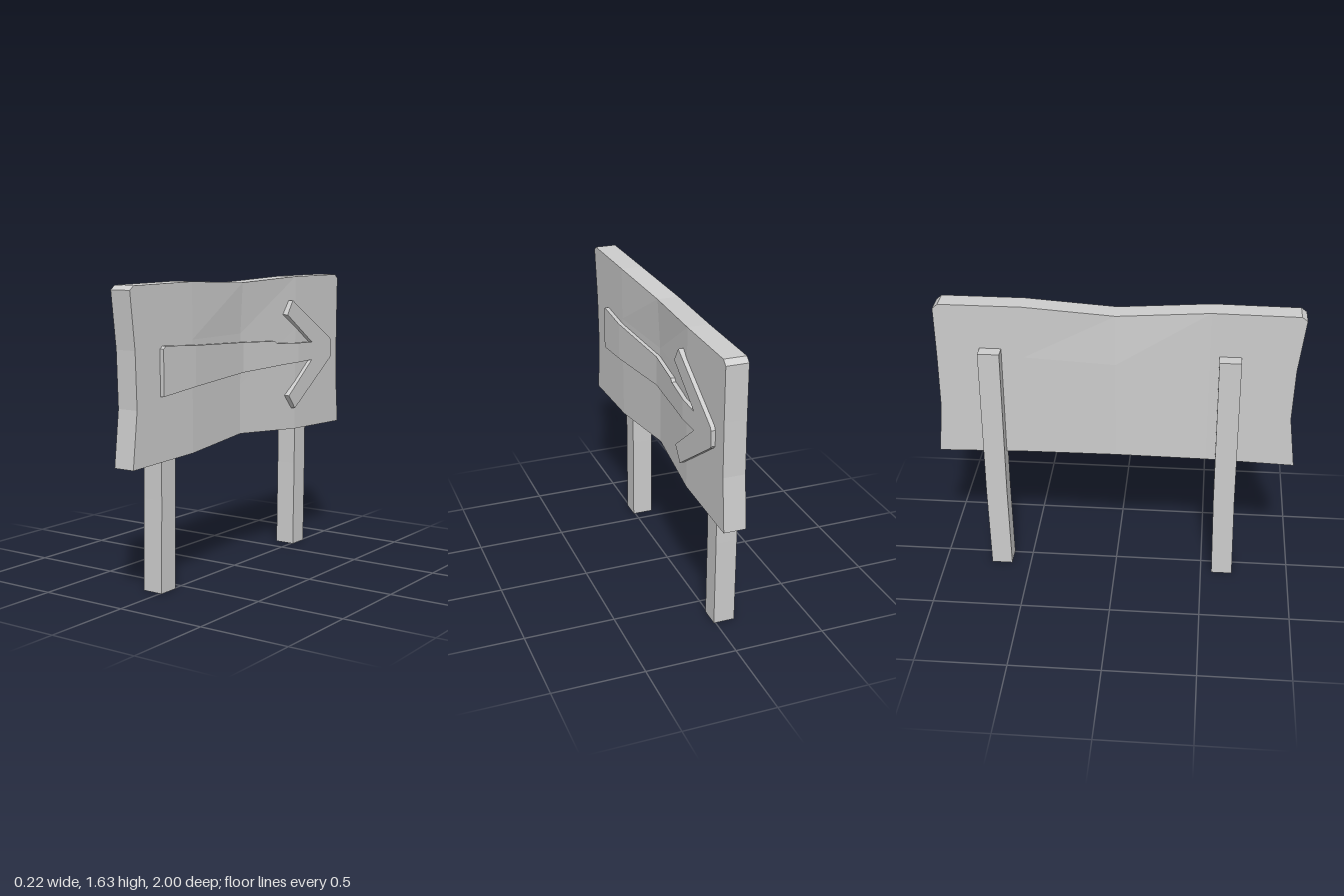
import * as THREE from 'three';

// The planks sag backwards around the middle (z = 0), a little less at the top edge
function sag(z, y) {
  const amount = 0.045 - 0.016 * THREE.MathUtils.clamp((y - 1.3) / 0.3, 0, 1);
  return -amount * Math.max(0, 1 - Math.abs(z) / 0.5);
}

// A slab between x0 and x1 whose grid of columns and rows is placed by a rule
function slab(name, material, x0, x1, rows, cols, place) {
  const geometry = new THREE.BoxGeometry(1, 1, 1, 1, rows, cols);
  const p = geometry.attributes.position;
  for (let k = 0; k < p.count; k++) {
    const col = Math.round((p.getZ(k) + 0.5) * cols);
    const row = Math.round((p.getY(k) + 0.5) * rows);
    const [z, y] = place(col, row);
    p.setXYZ(k, (p.getX(k) > 0 ? x1 : x0) + sag(z, y), y, z);
  }
  geometry.computeVertexNormals();
  const mesh = new THREE.Mesh(geometry, material);
  mesh.name = name;
  return mesh;
}

export function createModel() {
  const group = new THREE.Group();
  group.name = 'signpost';
  const grey = new THREE.MeshStandardMaterial({ color: 0xcccccc, flatShading: true });
  grey.name = 'light grey';

  // Warped board: columns run from z = -1 to z = 1, rows from bottom to top
  const across = [-1, -0.97, -0.5, 0, 0.5, 0.97, 1];
  const top = [1.6, 1.625, 1.625, 1.605, 1.627, 1.622, 1.6];
  const bottom = [0.72, 0.72, 0.733, 0.765, 0.732, 0.716, 0.715];
  const farEnd = [1, 0.975, 0.975, 0.98];
  const nearEnd = [0.99, 0.955, 0.965, 1];
  group.add(slab('board', grey, -0.035, 0.085, 3, 6, (c, r) => {
    const end = across[c] < 0 ? farEnd[r] : nearEnd[r];
    const z = Math.abs(across[c]) > 0.9 ? across[c] * end : across[c];
    return [z, THREE.MathUtils.lerp(bottom[c], top[c], r / 3)];
  }));

  // Arrow shaft: [z, bottom, top] for each section
  const shaft = [
    [-0.65, 1.13, 1.235], [-0.5, 1.127, 1.24], [-0.3, 1.122, 1.25], [-0.28, 1.12, 1.265],
    [0, 1.11, 1.277], [0.5, 1.085, 1.3], [0.75, 1.062, 1.315], [0.77, 1.06, 1.3],
  ];
  group.add(slab('arrowShaft', grey, 0.07, 0.108, 1, shaft.length - 1,
    (c, r) => [shaft[c][0], shaft[c][1 + r]]));

  // Arrow head, drawn as (-z, y) and turned to face +x
  const headOutline = [
    [0.65, 1.235], [0.38, 1.41], [0.435, 1.49], [0.86, 1.245], [0.873, 1.225],
    [0.873, 1.14], [0.86, 1.125], [0.465, 0.86], [0.4, 0.94], [0.65, 1.13],
  ];
  const headShape = new THREE.Shape(headOutline.map(([x, y]) => new THREE.Vector2(x, y)));
  const headGeometry = new THREE.ExtrudeGeometry(headShape, { depth: 0.038, bevelEnabled: false });
  headGeometry.rotateY(Math.PI / 2).translate(0.07, 0, 0);
  const head = new THREE.Mesh(headGeometry, grey);
  head.name = 'arrowHead';
  group.add(head);

  // Two slightly crooked posts behind the board
  const posts = [['nearPost', 0.622, 0.611], ['farPost', -0.668, -0.68]];
  for (const [name, foot, tip] of posts) {
    const heights = [0, 0.5, 1.375];
    const centres = [foot, (foot + tip) / 2 - 0.003, tip];
    group.add(slab(name, grey, -0.108, 0.01, 2, 1,
      (c, r) => [centres[r] + (c - 0.5) * 0.118, heights[r]]));
  }
  return group;
}
